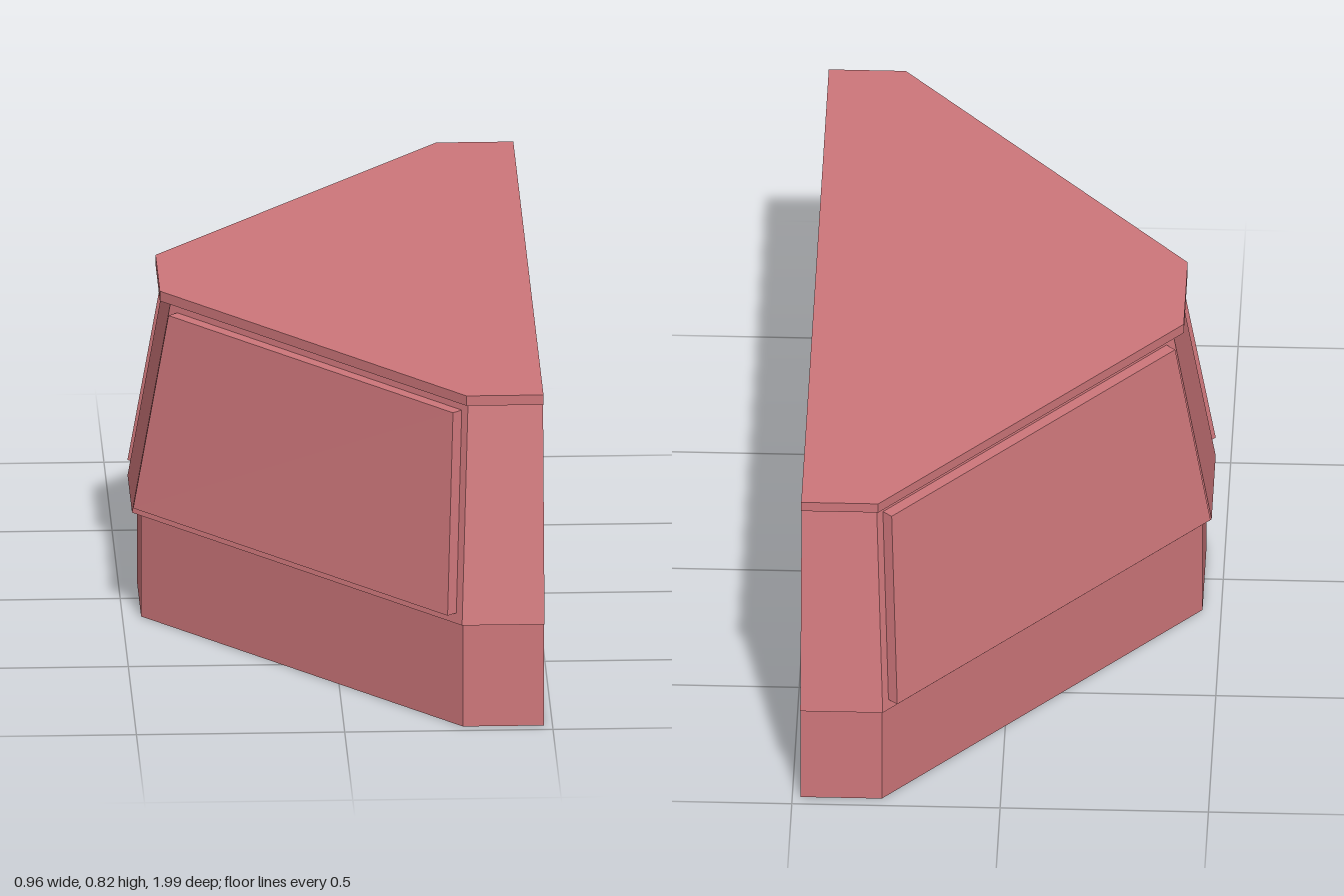
import * as THREE from 'three';

const lerp = THREE.MathUtils.lerp;

// Symmetric six-sided plan, counterclockwise from above: flat side at +x, narrow nose at -x.
function plan(endX, endZ, noseX, noseZ) {
  return [[0.48, endZ], [0.48, -endZ], [endX, -endZ], [noseX, -noseZ], [noseX, noseZ], [endX, endZ]];
}

// Solid between two matching [x, z] loops at heights y0 and y1.
function loft(lower, y0, upper, y1) {
  const low = lower.map(([x, z]) => [x, y0, z]);
  const high = upper.map(([x, z]) => [x, y1, z]);
  const pos = [];
  const tri = (a, b, c) => pos.push(...a, ...b, ...c);
  const n = low.length;
  for (let i = 0; i < n; i++) {
    const j = (i + 1) % n;
    tri(low[i], low[j], high[j]);
    tri(low[i], high[j], high[i]);
    if (i > 0 && i < n - 1) {
      tri(high[0], high[i], high[i + 1]);
      tri(low[0], low[i + 1], low[i]);
    }
  }
  const geometry = new THREE.BufferGeometry();
  geometry.setAttribute('position', new THREE.Float32BufferAttribute(pos, 3));
  geometry.computeVertexNormals();
  return geometry;
}

export function createModel() {
  const model = new THREE.Group();
  const rose = new THREE.MeshStandardMaterial({ color: 0xcd767a });
  rose.name = 'dustyRose';
  const add = (name, geometry) => {
    const mesh = new THREE.Mesh(geometry, rose);
    mesh.name = name;
    model.add(mesh);
  };

  // Plinth, tapered body and overhanging roof slab
  const bodyY0 = 0.265, bodyY1 = 0.8;
  const bodyLow = plan(0.282, 0.995, -0.477, 0.137);
  const bodyHigh = plan(0.3, 0.9, -0.383, 0.128);
  const base = plan(0.285, 0.97, -0.455, 0.133);
  const roof = plan(0.295, 0.93, -0.41, 0.133);
  add('base', loft(base, 0, base, bodyY0));
  add('body', loft(bodyLow, bodyY0, bodyHigh, bodyY1));
  add('roof', loft(roof, bodyY1, roof, 0.825));

  // Raised panel outline on the slanted wall at height y, following the body taper
  const panelLoop = (y) => {
    const t = (y - bodyY0) / (bodyY1 - bodyY0);
    const corner = (i) => new THREE.Vector2(
      lerp(bodyLow[i][0], bodyHigh[i][0], t), lerp(bodyLow[i][1], bodyHigh[i][1], t));
    const nose = corner(4), end = corner(5);
    const along = end.clone().sub(nose).normalize();
    const out = new THREE.Vector2(-along.y, along.x);
    nose.addScaledVector(along, 0.028);
    end.addScaledVector(along, -0.021);
    const shift = (p, d) => p.clone().addScaledVector(out, d).toArray();
    return [shift(nose, -0.005), shift(nose, 0.029), shift(end, 0.029), shift(end, -0.005)];
  };
  const mirror = (loop) => loop.map(([x, z]) => [x, -z]).reverse();
  const low = panelLoop(0.29), high = panelLoop(0.775);
  add('frontPanel', loft(low, 0.29, high, 0.775));
  add('backPanel', loft(mirror(low), 0.29, mirror(high), 0.775));

  return model;
}
